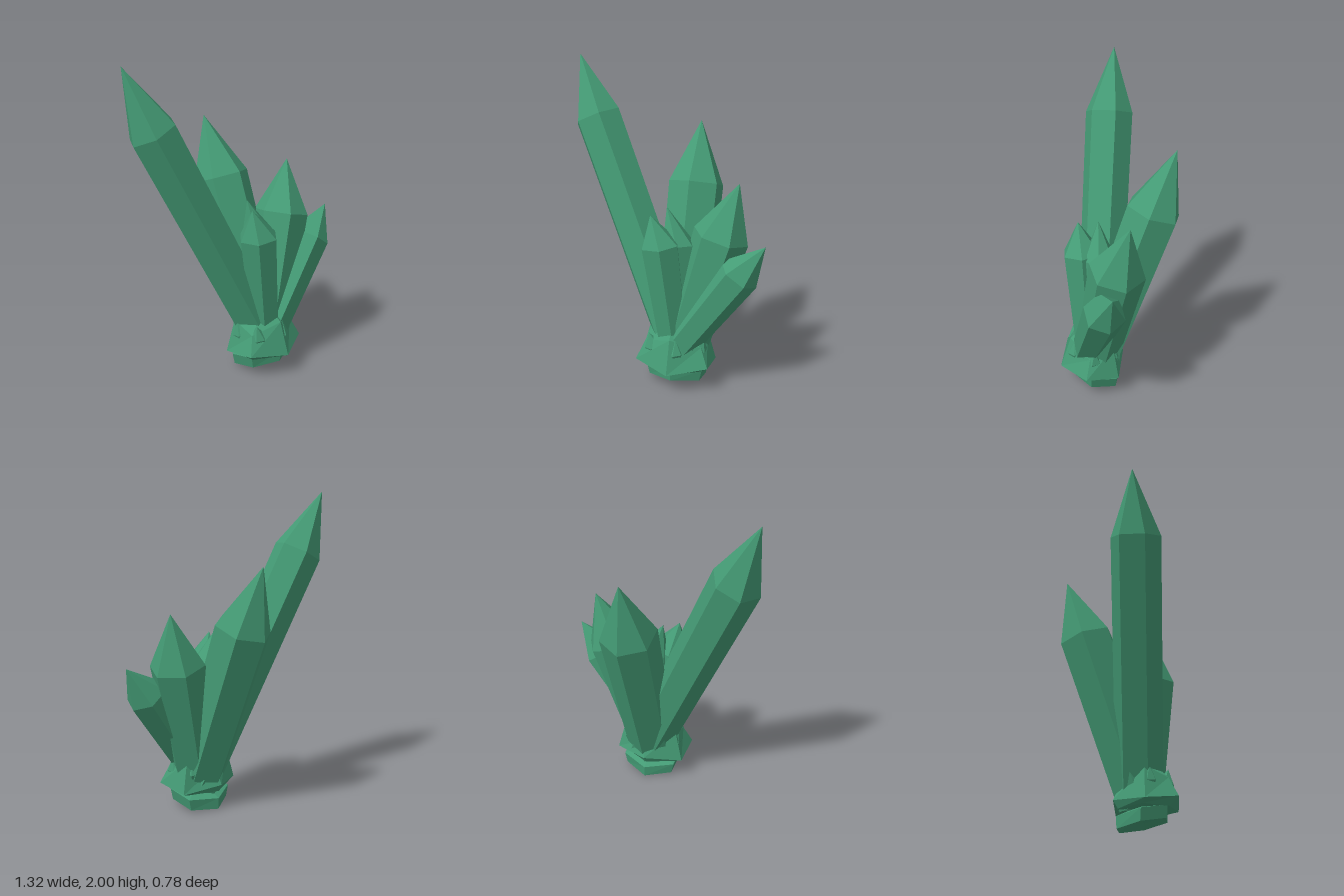
import * as THREE from 'three';

const V = (p) => new THREE.Vector3(...p);

// Faceted skin through rings of equal size, closed by a point at each end
function loft(rings, bottom, top) {
  const pos = [];
  const tri = (a, b, c) => pos.push(...a.toArray(), ...b.toArray(), ...c.toArray());
  const n = rings[0].length;
  for (let i = 0; i < n; i++) {
    const j = (i + 1) % n;
    tri(bottom, rings[0][j], rings[0][i]);
    for (let k = 0; k < rings.length - 1; k++) {
      const a = rings[k], b = rings[k + 1];
      tri(a[i], a[j], b[j]);
      tri(a[i], b[j], b[i]);
    }
    tri(rings[rings.length - 1][i], rings[rings.length - 1][j], top);
  }
  const g = new THREE.BufferGeometry();
  g.setAttribute('position', new THREE.Float32BufferAttribute(pos, 3));
  g.computeVertexNormals();
  return g;
}

// Six-sided prism along base -> shoulder, ending in a pointed tip
function crystal({ base, shoulder, apex, r, taper, turn }) {
  const b = V(base), s = V(shoulder);
  const axis = s.clone().sub(b).normalize();
  const e1 = new THREE.Vector3(0, 0, 1).addScaledVector(axis, -axis.z).normalize();
  const e2 = axis.clone().cross(e1);
  const ring = (c, rad) => Array.from({ length: 6 }, (_, i) => {
    const a = THREE.MathUtils.degToRad(turn + i * 60);
    return c.clone().addScaledVector(e1, rad * Math.cos(a)).addScaledVector(e2, rad * Math.sin(a));
  });
  return loft([ring(b, r * taper), ring(s, r)], b, V(apex));
}

// Horizontal ring for the rock; the height may alternate from corner to corner
function rockRing(cx, cz, rx, rz, y, wave = 0, turn = 0) {
  return Array.from({ length: 6 }, (_, i) => {
    const a = THREE.MathUtils.degToRad(turn + i * 60);
    return new THREE.Vector3(cx + rx * Math.sin(a), y + (i % 2 ? wave : -wave), cz + rz * Math.cos(a));
  });
}

export function createModel() {
  const model = new THREE.Group();
  const green = new THREE.MeshStandardMaterial({ color: 0x449b75 });
  green.name = 'crystal green';
  const add = (name, geometry) => {
    const mesh = new THREE.Mesh(geometry, green);
    mesh.name = name;
    model.add(mesh);
  };

  // Large and small crystals fanning out of the rock
  const crystals = {
    tallCrystal: { base: [0.15, 0.16, 0.15], shoulder: [-0.517, 1.62, -0.14], apex: [-0.66, 2, -0.22], r: 0.155, taper: 0.95, turn: 30 },
    backCrystal: { base: [0.12, 0.16, 0.16], shoulder: [0.115, 1.21, -0.225], apex: [0.105, 1.59, -0.37], r: 0.18, taper: 0.9, turn: 0 },
    sideCrystal: { base: [0.13, 0.16, 0.16], shoulder: [0.36, 0.98, 0.085], apex: [0.457, 1.31, 0.04], r: 0.175, taper: 0.8, turn: 30 },
    lowSideCrystal: { base: [0.09, 0.2, 0.21], shoulder: [0.505, 0.8, 0.21], apex: [0.66, 0.99, 0.21], r: 0.13, taper: 0.8, turn: 30 },
    frontCrystal: { base: [0.11, 0.16, 0.19], shoulder: [0.01, 0.93, 0.205], apex: [-0.05, 1.115, 0.21], r: 0.125, taper: 0.75, turn: 15 },
    innerCrystal: { base: [0.1, 0.16, 0.17], shoulder: [0.1, 0.92, 0.115], apex: [0.02, 1.14, 0.1], r: 0.105, taper: 0.9, turn: 10 },
  };
  for (const [name, spec] of Object.entries(crystals)) add(name, crystal(spec));

  // Flared collar of rock around the crystal roots
  add('rockCollar', loft([
    rockRing(0.1, 0.16, 0.2, 0.17, 0.12),
    rockRing(0.105, 0.175, 0.27, 0.215, 0.155, 0.015),
    rockRing(0.105, 0.165, 0.21, 0.155, 0.32, -0.03),
  ], V([0.1, 0.1, 0.16]), V([0.1, 0.45, 0.2])));

  // Small shards standing up along the collar
  [0, 60, 120, 180, 240, 300].forEach((deg, i) => {
    const a = THREE.MathUtils.degToRad(deg + 10);
    const sx = Math.sin(a), cz = Math.cos(a);
    add('shard' + (i + 1), crystal({
      base: [0.105 + 0.15 * sx, 0.2, 0.165 + 0.11 * cz],
      shoulder: [0.105 + 0.17 * sx, 0.27, 0.165 + 0.13 * cz],
      apex: [0.105 + 0.2 * sx, 0.35, 0.165 + 0.14 * cz],
      r: 0.055, taper: 0.9, turn: deg,
    }));
  });

  // Foot with a hollow underside, tilted slightly down at the back
  const tilt = (ring) => ring.map((p) => p.setY(Math.max(0, p.y + (p.z - 0.15) * 0.2)));
  add('foot', loft([
    tilt(rockRing(0.11, 0.15, 0.11, 0.1, 0.065)),
    tilt(rockRing(0.11, 0.15, 0.19, 0.165, 0.035)),
    tilt(rockRing(0.11, 0.15, 0.21, 0.17, 0.11)),
  ], V([0.11, 0.09, 0.15]), V([0.11, 0.16, 0.15])));

  return model;
}
